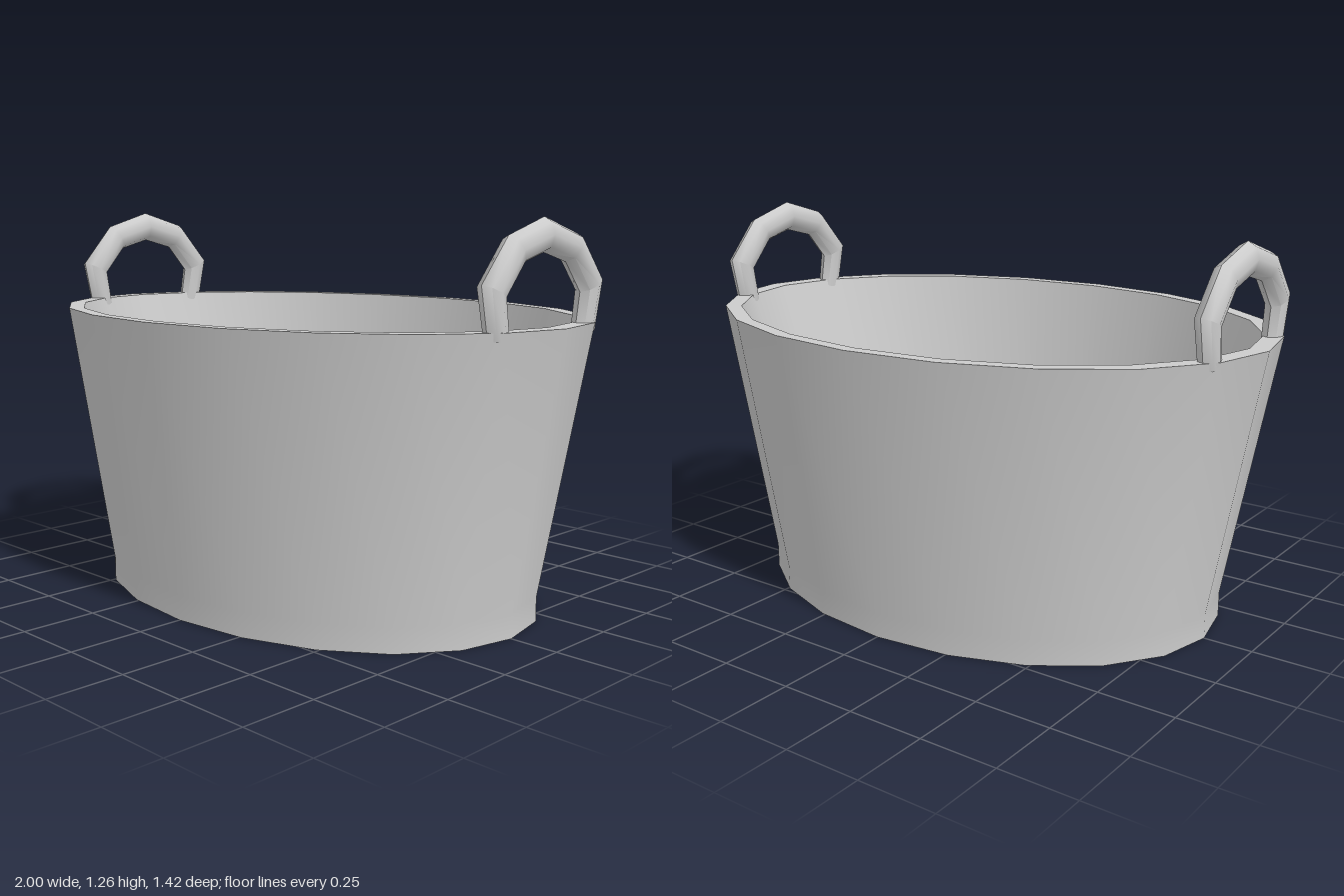
import * as THREE from 'three';
import { toCreasedNormals } from 'three/addons/utils/BufferGeometryUtils.js';

const material = new THREE.MeshStandardMaterial({ color: 0xcccccc });

// Oval tub: 20-sided lathe, flattened along z
function createTub() {
  const profile = [
    [0, 0], [0.838, 0], [0.838, 0.08], [1, 0.945],
    [0.938, 0.945], [0.682, 0.08], [0, 0.08],
  ].map(([r, y]) => new THREE.Vector2(r, y));
  const geometry = new THREE.LatheGeometry(profile, 20);
  geometry.scale(1, 1, 0.712);
  const tub = new THREE.Mesh(toCreasedNormals(geometry, 0.5), material);
  tub.name = 'tub';
  return tub;
}

// Arched handle: oval rings lofted between an inner and an outer outline
function createHandle(x) {
  const half = [ // outer z, y, inner z, y, half thickness in x
    [0.25, 0.92, 0.17, 0.92, 0.033],
    [0.282, 1.075, 0.19, 1.035, 0.037],
    [0.165, 1.207, 0.112, 1.125, 0.038],
    [0, 1.256, 0, 1.155, 0.038],
  ];
  const mirrored = half.slice(0, 3).reverse().map(([oz, oy, iz, iy, t]) => [-oz, oy, -iz, iy, t]);
  const rings = [...half, ...mirrored];
  const sides = 8;
  const positions = [];
  const indices = [];
  for (const [oz, oy, iz, iy, t] of rings) {
    for (let j = 0; j < sides; j++) {
      const a = (j / sides) * Math.PI * 2;
      const k = Math.cos(a) / 2;
      positions.push(
        t * Math.sin(a),
        (oy + iy) / 2 + (oy - iy) * k,
        (oz + iz) / 2 + (oz - iz) * k,
      );
    }
  }
  for (let i = 0; i < rings.length - 1; i++) {
    for (let j = 0; j < sides; j++) {
      const a = i * sides + j;
      const b = i * sides + ((j + 1) % sides);
      indices.push(a, b, a + sides, b, b + sides, a + sides);
    }
  }
  const geometry = new THREE.BufferGeometry();
  geometry.setAttribute('position', new THREE.Float32BufferAttribute(positions, 3));
  geometry.setIndex(indices);
  // Smooth around the grip, sharp at the bends on the inside
  const handle = new THREE.Mesh(toCreasedNormals(geometry, 0.85), material);
  handle.position.x = x;
  handle.name = x > 0 ? 'leftHandle' : 'rightHandle';
  return handle;
}

export function createModel() {
  const basket = new THREE.Group();
  basket.name = 'basket';
  basket.add(createTub(), createHandle(0.915), createHandle(-0.915));
  return basket;
}
